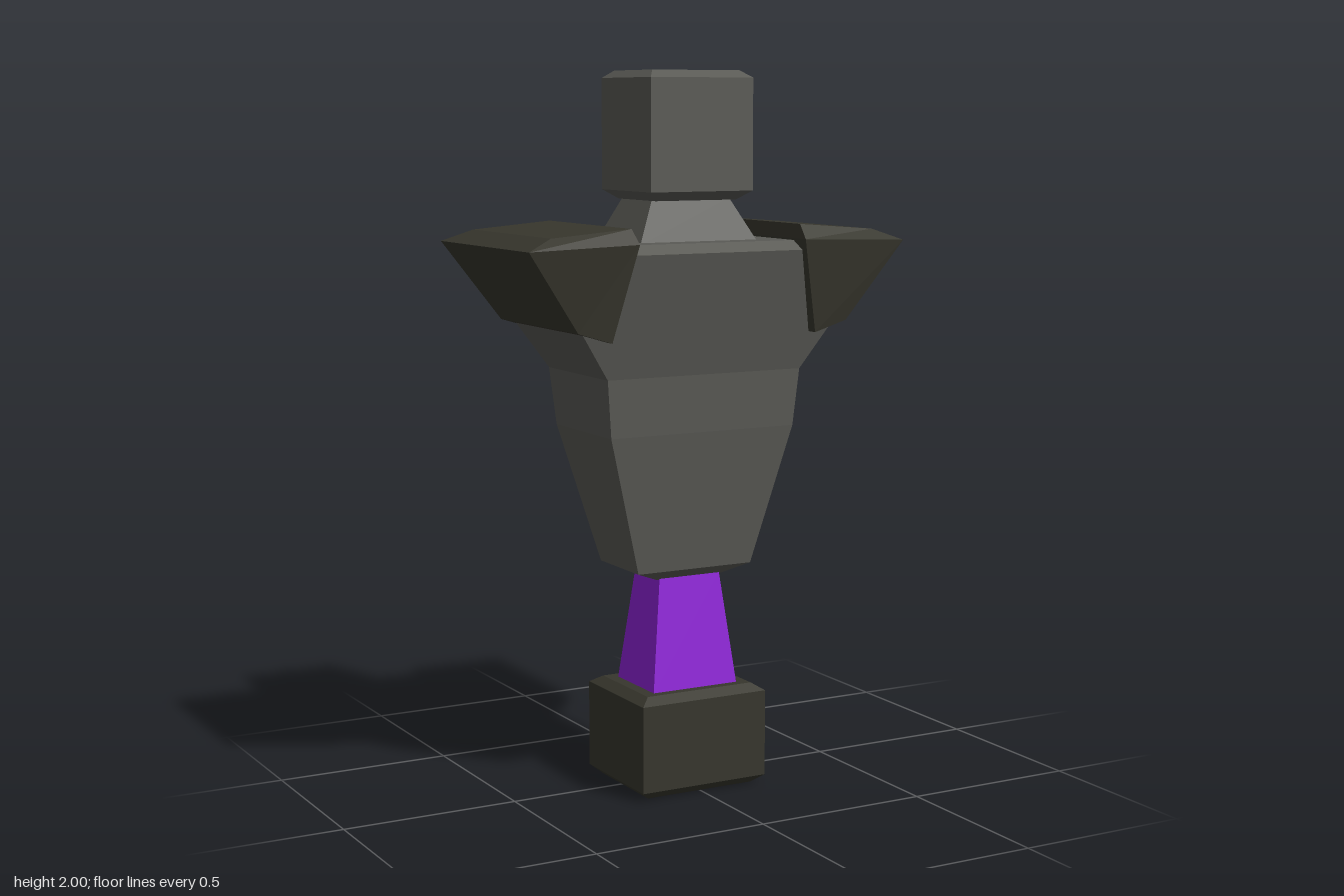
import * as THREE from 'three';

// Closed flat-sided solid through rings of corners, each ring counterclockwise seen from the last ring's side
function loft(rings) {
  const pos = [];
  const tri = (a, b, c) => pos.push(...a, ...b, ...c);
  const n = rings[0].length;
  for (let i = 0; i + 1 < rings.length; i++) {
    for (let j = 0; j < n; j++) {
      const k = (j + 1) % n;
      tri(rings[i][j], rings[i][k], rings[i + 1][k]);
      tri(rings[i][j], rings[i + 1][k], rings[i + 1][j]);
    }
  }
  const first = rings[0], last = rings[rings.length - 1];
  for (let j = 1; j + 1 < n; j++) {
    tri(first[0], first[j + 1], first[j]);
    tri(last[0], last[j], last[j + 1]);
  }
  const g = new THREE.BufferGeometry();
  g.setAttribute('position', new THREE.Float32BufferAttribute(pos, 3));
  g.computeVertexNormals();
  return g;
}

// Rectangular cross-section: height, half width, front z, back z
const rect = ([y, w, zf, zb]) => [[-w, y, zf], [w, y, zf], [w, y, zb], [-w, y, zb]];

export function createModel() {
  const model = new THREE.Group();
  const grey = new THREE.MeshStandardMaterial({ color: 0x5a5a55 });
  const dark = new THREE.MeshStandardMaterial({ color: 0x37362d });
  const purple = new THREE.MeshStandardMaterial({ color: 0x8f24d8 });
  grey.name = 'stone grey';
  dark.name = 'dark olive';
  purple.name = 'purple';

  const add = (name, geometry, material) => {
    const mesh = new THREE.Mesh(geometry, material);
    mesh.name = name;
    model.add(mesh);
    return mesh;
  };
  const stack = (name, material, sections) => add(name, loft(sections.map(rect)), material);

  // Bevelled foot block and tapering stem
  stack('base', dark, [
    [0, 0.165, 0.155, -0.115], [0.025, 0.195, 0.185, -0.145],
    [0.27, 0.195, 0.185, -0.145], [0.29, 0.165, 0.155, -0.115],
  ]);
  stack('stem', purple, [[0.285, 0.133, 0.13, -0.085], [0.605, 0.095, 0.095, -0.05]]);

  // Torso widening towards the shoulders
  stack('torso', grey, [
    [0.6, 0.1, 0.09, -0.05], [0.63, 0.178, 0.127, -0.1],
    [1.02, 0.285, 0.175, -0.16], [1.18, 0.3, 0.185, -0.175],
    [1.515, 0.53, 0.257, -0.253], [1.54, 0.48, 0.22, -0.215],
  ]);

  // Neck and bevelled head
  stack('neck', grey, [[1.535, 0.182, 0.15, -0.11], [1.655, 0.12, 0.1, -0.07]]);
  stack('head', grey, [
    [1.65, 0.125, 0.13, -0.085], [1.675, 0.158, 0.165, -0.122],
    [1.98, 0.158, 0.165, -0.122], [2, 0.135, 0.13, -0.09],
  ]);

  // Round disc on the back of the head
  const disc = add('headDisc', new THREE.CylinderGeometry(0.103, 0.103, 0.04, 24), purple);
  disc.rotation.x = Math.PI / 2;
  disc.position.set(0, 1.847, -0.138);

  // Shoulder pads: inner x, inner y, outer x, outer y, half depth
  const padSections = [
    [0.315, 1.285, 0.415, 1.315, 0.242],
    [0.255, 1.545, 0.575, 1.535, 0.285],
    [0.26, 1.585, 0.495, 1.566, 0.247],
  ];
  for (const side of [1, -1]) {
    const rings = padSections.map(([xi, yi, xo, yo, z]) => {
      const ring = [[xi, yi, z], [xo, yo, z], [xo, yo, -z], [xi, yi, -z]]
        .map(([x, y, zz]) => [x * side, y, zz]);
      return side > 0 ? ring : ring.reverse();
    });
    add(side > 0 ? 'leftShoulderPad' : 'rightShoulderPad', loft(rings), dark);
  }

  // Five-sided back plate leaning with the torso, narrower on its outer face
  const plateRing = (inset, lift) =>
    [[0.185, 1.49], [0.24, 1.215], [0, 1.125], [-0.24, 1.215], [-0.185, 1.49]].map(([x, y]) => {
      const px = x - Math.sign(x) * inset;
      const py = y + (y > 1.4 ? -inset : inset) * 0.4;
      return [px, py, -0.164 - (py - 1.13) * 0.19 - lift];
    });
  add('backPlate', loft([plateRing(0, 0), plateRing(0, 0.035), plateRing(0.022, 0.052)]), dark);

  return model;
}
